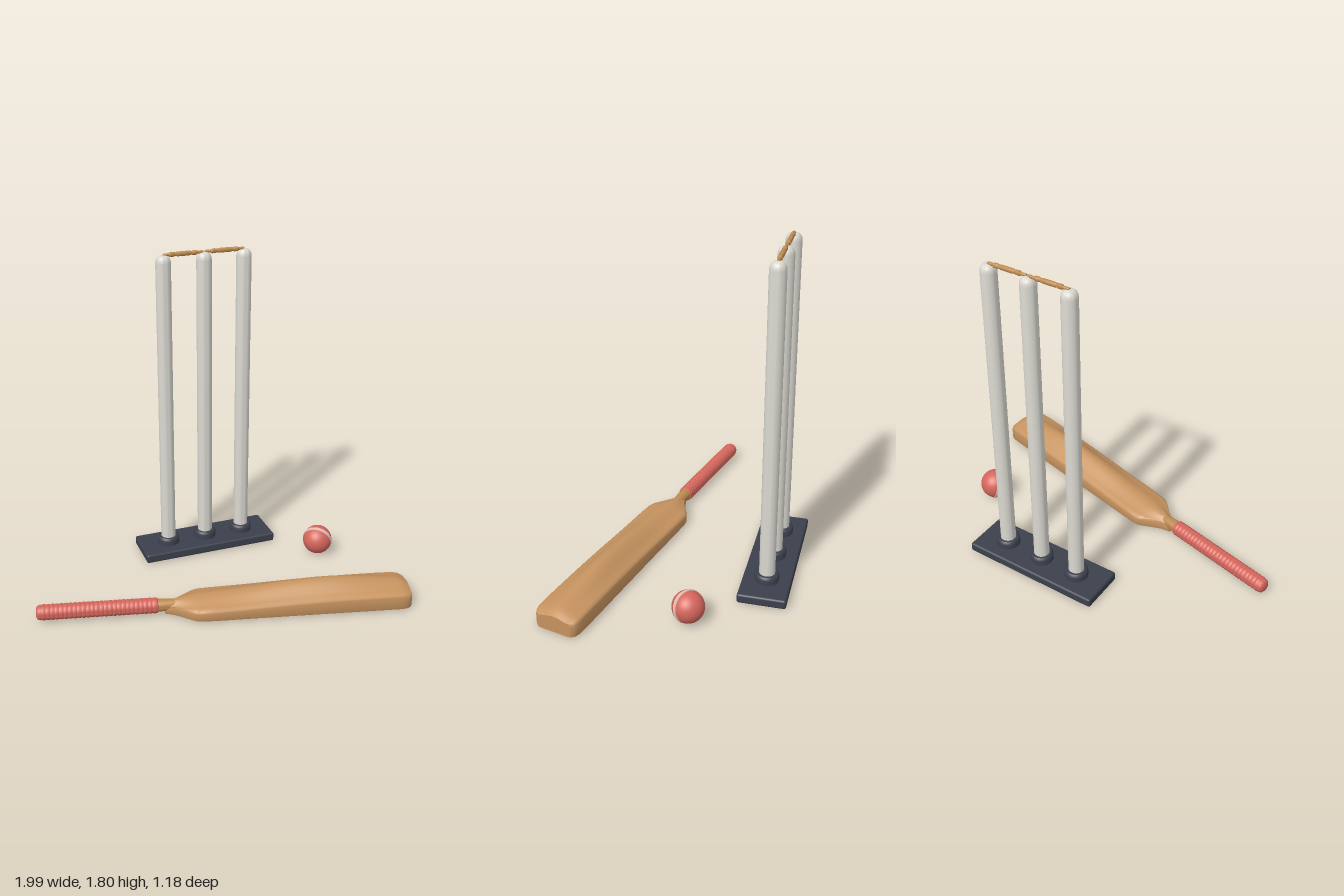
import * as THREE from 'three';
import { toCreasedNormals } from 'three/addons/utils/BufferGeometryUtils.js';
import { RoundedBoxGeometry } from 'three/addons/geometries/RoundedBoxGeometry.js';

const mat = (name, color) => {
  const m = new THREE.MeshStandardMaterial({ color });
  m.name = name;
  return m;
};

const lathe = (points, segments = 32) => toCreasedNormals(
  new THREE.LatheGeometry(points.map(([r, y]) => new THREE.Vector2(r, y)), segments), 0.6);

// Lofts equal-length loops of [x, y, z] points and caps both ends
function loft(loops) {
  const n = loops[0].length, pos = loops.flat(2), index = [];
  for (let i = 0; i < loops.length - 1; i++) {
    for (let j = 0; j < n; j++) {
      const a = i * n + j, b = i * n + (j + 1) % n;
      index.push(a, b, a + n, b, b + n, a + n);
    }
  }
  [0, loops.length - 1].forEach((row, end) => {
    const c = pos.length / 3, sum = [0, 0, 0];
    loops[row].forEach((p) => p.forEach((v, k) => { sum[k] += v / n; }));
    pos.push(...sum);
    for (let j = 0; j < n; j++) {
      const a = row * n + j, b = row * n + (j + 1) % n;
      index.push(...(end ? [c, a, b] : [c, b, a]));
    }
  });
  const g = new THREE.BufferGeometry();
  g.setAttribute('position', new THREE.Float32BufferAttribute(pos, 3));
  g.setIndex(index);
  return toCreasedNormals(g, 0.65);
}

// Smooth curve through [position, value] pairs
function curve(pairs) {
  const slope = (i) => {
    const a = pairs[Math.max(i - 1, 0)], b = pairs[Math.min(i + 1, pairs.length - 1)];
    return (b[1] - a[1]) / (b[0] - a[0]);
  };
  return (x) => {
    let i = 0;
    while (i < pairs.length - 2 && x > pairs[i + 1][0]) i++;
    const [x0, y0] = pairs[i], [x1, y1] = pairs[i + 1], h = x1 - x0, t = (x - x0) / h;
    const t2 = t * t, t3 = t2 * t;
    return y0 * (2 * t3 - 3 * t2 + 1) + y1 * (3 * t2 - 2 * t3)
      + h * (slope(i) * (t3 - 2 * t2 + t) + slope(i + 1) * (t3 - t2));
  };
}

export function createModel() {
  const root = new THREE.Group();
  const willow = mat('willow', 0xc6935f), cane = mat('cane', 0xbd8a50);
  const red = mat('red', 0xd4665c), cream = mat('cream', 0xdcc0b2);
  const white = mat('stump white', 0xd9d7cf), dark = mat('dark base', 0x3b404c);

  const add = (parent, name, geometry, material, x = 0, y = 0, z = 0) => {
    const mesh = new THREE.Mesh(geometry, material);
    mesh.name = name;
    mesh.position.set(x, y, z);
    parent.add(mesh);
    return mesh;
  };

  // Wicket: base plate, three collared stumps, two bails
  const wicket = new THREE.Group();
  wicket.name = 'wicket';
  wicket.position.set(0.13, 0, -0.472);
  root.add(wicket);
  add(wicket, 'basePlate', new RoundedBoxGeometry(0.8, 0.052, 0.256, 3, 0.012), dark, 0, 0.03, 0);

  const collar = lathe([[0.064, 0.05], [0.064, 0.085], [0.061, 0.094], [0.054, 0.1], [0.04, 0.1]]);
  const stump = lathe([[0, 0.05], [0.042, 0.05], [0.042, 1.745], [0.04, 1.76], [0.034, 1.773],
    [0.025, 1.781], [0.012, 1.785], [0, 1.786]]);
  for (const x of [-0.23, 0, 0.23]) {
    add(wicket, 'collar', collar, dark, x);
    add(wicket, 'stump', stump, white, x);
  }

  const half = [[0, 0.113], [0.007, 0.113], [0.009, 0.105], [0.008, 0.08], [0.013, 0.073],
    [0.013, 0.055], [0.01, 0.047], [0.013, 0.03]];
  const bail = lathe([...half.map(([r, y]) => [r, -y]), ...half.slice().reverse()], 16);
  for (const side of [-1, 1]) {
    add(wicket, 'bail', bail, cane, side * 0.118, 1.786, 0).rotation.z = -Math.PI / 2;
  }

  // Bat lying face down, its handle end at the group's origin
  const bat = new THREE.Group();
  bat.name = 'bat';
  bat.position.set(-0.99, 0, 0);
  bat.rotation.y = -0.2374;
  root.add(bat);

  const grip = [[0, 0], [0.026, 0.002], [0.036, 0.009], [0.041, 0.022]];
  for (let i = 0; i < 26; i++) {
    const y = 0.03 + i * 0.0235;
    grip.push([0.0395, y], [0.0425, y + 0.006], [0.0425, y + 0.016]);
  }
  grip.push([0.04, 0.645], [0.03, 0.65], [0, 0.65]);
  add(bat, 'grip', lathe(grip, 28), red, 0, 0.052, 0).rotation.z = -Math.PI / 2;
  add(bat, 'handleNeck', lathe([[0, 0.64], [0.035, 0.64], [0.034, 0.67], [0.028, 0.76], [0, 0.78]], 28),
    cane, 0, 0.052, 0).rotation.z = -Math.PI / 2;

  // Blade: flat face, upright edges and a swelling spine
  const width = curve([[0.685, 0.026], [0.735, 0.044], [0.79, 0.079], [0.84, 0.112], [0.875, 0.122],
    [1.2, 0.123], [1.6, 0.124], [1.95, 0.125], [1.985, 0.121], [2.005, 0.112], [2.018, 0.097]]);
  const edge = curve([[0.685, 0.055], [0.85, 0.068], [1.1, 0.077], [1.5, 0.094], [1.8, 0.098],
    [1.97, 0.096], [2.018, 0.084]]);
  const spine = curve([[0.685, 0.074], [0.82, 0.094], [1.05, 0.115], [1.3, 0.144], [1.5, 0.159],
    [1.65, 0.158], [1.85, 0.136], [1.97, 0.121], [2.018, 0.1]]);
  const stations = [0.685, 0.71, 0.735, 0.76, 0.79, 0.815, 0.84, 0.857, 0.875];
  for (let u = 0.95; u < 1.96; u += 0.0625) stations.push(u);
  stations.push(1.968, 1.985, 1.996, 2.005, 2.012, 2.018);
  const loops = stations.map((u) => {
    const w = width(u), e = edge(u), s = spine(u), b = 0.006, loop = [];
    loop.push([u, b, w - 0.01], [u, b, 0], [u, b, 0.01 - w], [u, b + 0.003, 0.003 - w],
      [u, b + 0.01, -w], [u, e - 0.016, -w], [u, e - 0.006, 0.003 - w]);
    for (let k = -6; k <= 6; k++) {
      const t = k / 6.6;
      loop.push([u, e + (s - e) * (0.5 + 0.5 * Math.cos(Math.PI * t)), w * t]);
    }
    loop.push([u, e - 0.006, w - 0.003], [u, e - 0.016, w], [u, b + 0.01, w], [u, b + 0.003, w - 0.003]);
    return loop;
  });
  add(bat, 'blade', loft(loops), willow);

  // Ball with a raised seam band
  const ball = new THREE.Group();
  ball.name = 'ball';
  ball.position.set(0.72, 0.087, -0.14);
  ball.quaternion.setFromUnitVectors(new THREE.Vector3(0, 1, 0),
    new THREE.Vector3(-0.62, -0.27, 0.74).normalize());
  root.add(ball);
  add(ball, 'ballBody', new THREE.SphereGeometry(0.084, 40, 28), red);
  add(ball, 'seam', lathe([[0.082, -0.011], [0.085, -0.01], [0.0865, 0], [0.085, 0.01], [0.082, 0.011]], 48), cream);

  return root;
}
